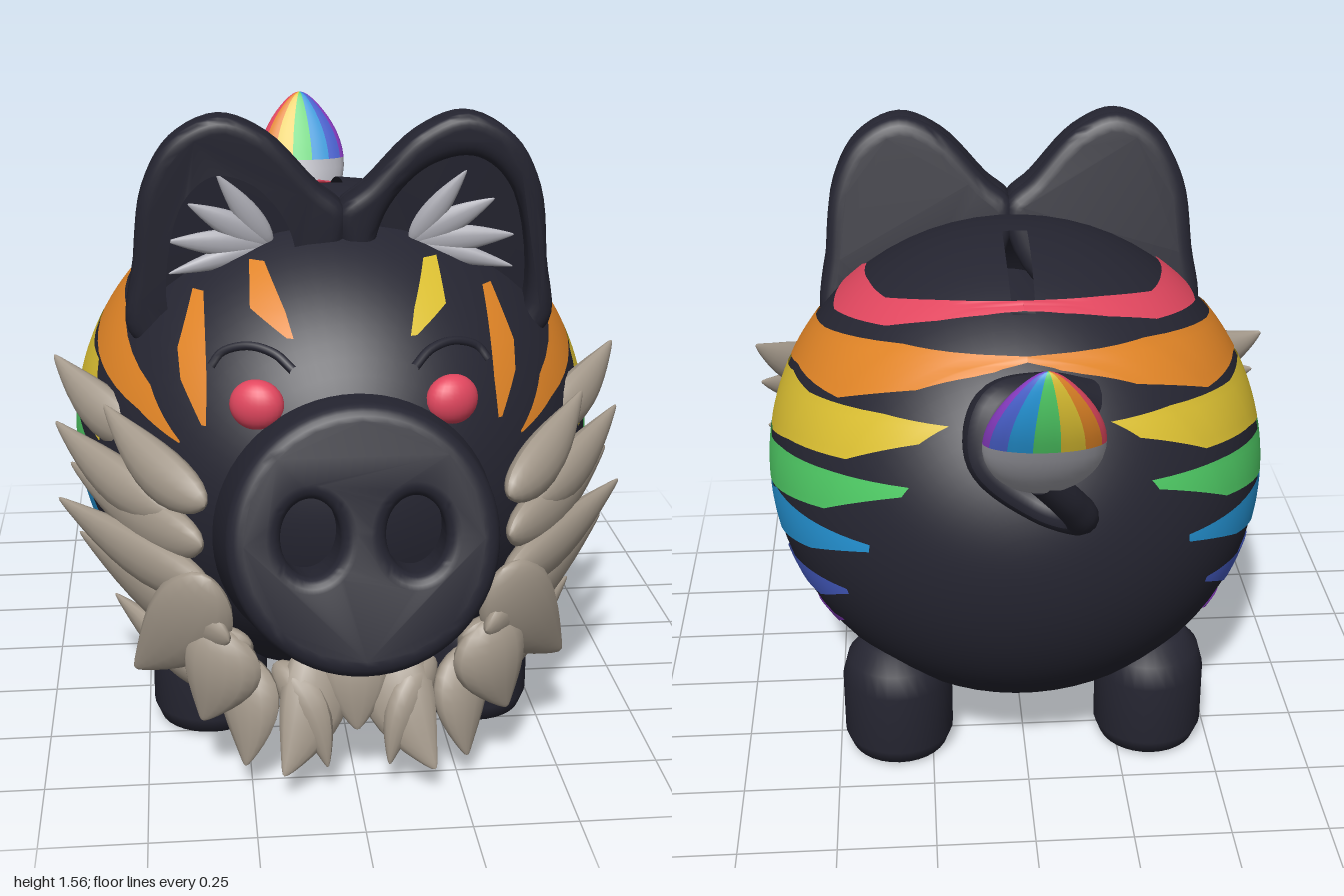
import * as THREE from 'three';
import { toCreasedNormals } from 'three/addons/utils/BufferGeometryUtils.js';

const colours = {
  charcoal: 0x252531, fawn: 0xa3988a, silver: 0xaaaab2, red: 0xe2475f, orange: 0xe08426,
  yellow: 0xdcc032, green: 0x4fcb65, sky: 0x2596d8, indigo: 0x4a62cf, purple: 0x8a3cc4,
};
const V = (x, y, z) => new THREE.Vector3(x, y, z);

// Body ellipsoid
const C = V(0, 0.69, 0.08), R = V(0.67, 0.64, 0.73);
const root = (a, b) => Math.sqrt(Math.max(0, 1 - a * a - b * b));
const onSide = (s) => (z, y) => V(s * R.x * root((z - C.z) / R.z, (y - C.y) / R.y), y, z);
const onFront = (s) => (y, x) => V(s * x, y, C.z + R.z * root(x / R.x, (y - C.y) / R.y));

// Apply a rule to every vertex
function deform(geo, rule) {
  const p = geo.attributes.position, v = V(0, 0, 0);
  for (let i = 0; i < p.count; i++) {
    rule(v.fromBufferAttribute(p, i), i);
    p.setXYZ(i, v.x, v.y, v.z);
  }
  geo.computeVertexNormals();
  return geo;
}

// Painted strip on the body; rows are [along, edgeA, edgeB]
function strip(rows, surface) {
  const pos = [], idx = [], sub = 5, across = 6, n = (rows.length - 1) * sub;
  for (let i = 0; i <= n; i++) {
    const k = Math.min(Math.floor(i / sub), rows.length - 2), f = i / sub - k;
    const [t, a, b] = rows[k].map((v, j) => v + (rows[k + 1][j] - v) * f);
    for (let j = 0; j <= across; j++) {
      const p = surface(t, a + (b - a) * j / across).sub(C).multiplyScalar(1.006).add(C);
      pos.push(p.x, p.y, p.z);
      if (i < n && j < across) {
        const q = i * (across + 1) + j, r = q + across + 1;
        idx.push(q, r, q + 1, q + 1, r, r + 1);
      }
    }
  }
  const geo = new THREE.BufferGeometry();
  geo.setAttribute('position', new THREE.Float32BufferAttribute(pos, 3));
  geo.setIndex(idx);
  geo.computeVertexNormals();
  return geo;
}

// Curved pointed tuft from base to tip, lying flat against normal n
function tuft(base, tip, w, thick, n, curl = 0) {
  const u = tip.clone().sub(base), len = u.length();
  u.normalize();
  const out = n.clone().addScaledVector(u, -n.dot(u)).normalize();
  const side = u.clone().cross(out);
  const geo = deform(new THREE.SphereGeometry(1, 14, 14), (v) => {
    const s = (v.y + 1) / 2, k = 1 - 0.7 * s * s;
    v.set(v.x * w * k + curl * v.y * v.y, v.y * len / 2, v.z * thick * k + 0.04 * s * s * len);
  });
  const mid = base.clone().add(tip).multiplyScalar(0.5);
  return geo.applyMatrix4(new THREE.Matrix4().makeBasis(side, u, out).setPosition(mid));
}

export function createModel() {
  const model = new THREE.Group();
  const mats = {};
  for (const [name, hex] of Object.entries(colours)) {
    mats[name] = new THREE.MeshStandardMaterial({ color: hex, side: THREE.DoubleSide });
    mats[name].name = name;
  }
  const add = (name, geo, mat) => {
    const m = new THREE.Mesh(geo, mats[mat]);
    m.name = name;
    model.add(m);
    return m;
  };

  // Body with an open coin slot along the top
  const body = new THREE.SphereGeometry(1, 64, 48).rotateX(Math.PI / 2).rotateZ(Math.PI / 64);
  body.scale(R.x, R.y, R.z).translate(C.x, C.y, C.z);
  const bp = body.attributes.position, src = body.index.array, kept = [];
  for (let i = 0; i < src.length; i += 3) {
    const t = [src[i], src[i + 1], src[i + 2]];
    const c = t.reduce((a, k) => a.add(V(bp.getX(k), bp.getY(k), bp.getZ(k))), V(0, 0, 0)).divideScalar(3);
    if (!(Math.abs(c.x) < 0.033 && c.y > 1.1 && c.z < 0.07 && c.z > -0.285)) kept.push(...t);
  }
  body.setIndex(kept);
  add('body', body, 'charcoal');

  // Flank stripes: [z, top, bottom]
  const flank = {
    red: [[.3, 1.16, 1.14], [.2, 1.2, 1.14], [.03, 1.215, 1.14], [-.1, 1.22, 1.165], [-.2, 1.25, 1.185], [-.26, 1.265, 1.22], [-.28, 1.25, 1.24]],
    orange: [[.64, .84, .835], [.52, .94, .88], [.25, 1.06, .94], [-.02, 1.11, 1.01], [-.28, 1.17, 1.03], [-.4, 1.18, 1.1], [-.42, 1.15, 1.14]],
    yellow: [[.4, .8, .76], [.27, .93, .79], [.17, .94, .815], [-.02, .99, .82], [-.18, 1, .87], [-.4, 1.04, .92], [-.49, 1.045, 1]],
    green: [[.42, .6, .57], [.3, .74, .63], [.18, .775, .67], [.1, .79, .7], [-.02, .8, .68], [-.14, .83, .71], [-.39, .88, .78], [-.53, .905, .88]],
    sky: [[.42, .38, .36], [.33, .56, .43], [.25, .64, .48], [.17, .66, .55], [0, .65, .535], [-.14, .71, .58], [-.34, .725, .64], [-.51, .74, .72]],
    indigo: [[.31, .36, .35], [.22, .46, .385], [.14, .485, .39], [-.02, .475, .405], [-.13, .525, .445], [-.29, .55, .47], [-.44, .575, .56]],
    purple: [[.22, .2, .195], [.14, .295, .215], [-.02, .34, .255], [-.2, .39, .33], [-.34, .425, .42]],
  };
  // Brow stripes: [y, inner x, outer x]
  const outerBrow = [[1.145, .335, .36], [1.03, .335, .4], [.97, .335, .395], [.885, .34, .35]];
  const innerBrow = [[1.215, .19, .225], [1.13, .15, .23], [1.08, .14, .23]];
  innerBrow[2] = [1.08, .135, .15];

  // Cheek mane: base, tip, half width
  const mane = [
    [[.5, .77, .48], [.71, .92, .25], .075], [[.36, .71, .78], [.58, .86, .48], .075],
    [[.44, .65, .68], [.7, .77, .33], .075], [[.36, .6, .76], [.66, .68, .38], .085],
    [[.34, .5, .79], [.69, .6, .4], .085], [[.3, .38, .8], [.64, .52, .42], .1],
    [[.32, .54, .8], [.5, .24, .62], .12], [[.24, .36, .78], [.5, .3, .6], .09],
    [[.33, .22, .7], [.56, .36, .44], .08], [[.3, .42, .78], [.34, .17, .76], .11],
    [[.06, .34, .72], [.16, .06, .85], .1], [[.17, .32, .74], [.05, .09, .84], .065],
    [[.26, .33, .72], [.24, .07, .8], .09],
  ];

  for (const s of [1, -1]) {
    for (const [c, rows] of Object.entries(flank)) add(c + 'FlankStripe', strip(rows, onSide(s)), c);
    add('outerBrowStripe', strip(outerBrow, onFront(s)), 'orange');
    add('innerBrowStripe', strip(innerBrow, onFront(s)), s > 0 ? 'yellow' : 'orange');

    // Closed eye and rosy cheek
    const lid = [[1.02, .14], [1.05, .18], [1.06, .24], [1.04, .3], [1.01, .325]].map(([y, x]) => onFront(s)(y, x));
    add('closedEye', new THREE.TubeGeometry(new THREE.CatmullRomCurve3(lid), 20, 0.011, 8), 'charcoal');
    const cheek = add('cheek', new THREE.SphereGeometry(1, 24, 16), 'red');
    cheek.scale.set(0.065, 0.06, 0.045);
    cheek.position.copy(onFront(s)(0.945, 0.225));
    cheek.rotation.y = s * 0.35;

    for (const [b, t, w] of mane) {
      const base = V(b[0] * s, b[1], b[2]), tip = V(t[0] * s, t[1], t[2]);
      add('maneTuft', tuft(base, tip, w, 0.05, base.clone().add(tip).multiplyScalar(.5).sub(C), -s * 0.025), 'fawn');
    }

    // Ear: back plate plus hollow rim, thinner and leaning forward at the top
    const outline = (pts) => new THREE.CatmullRomCurve3(pts.map(([x, y]) => V(x * s, y, 0)), true)
      .getPoints(50).slice(0, -1).map((p) => new THREE.Vector2(p.x, p.y));
    const outer = outline([[.52, 1.03], [.505, 1.2], [.48, 1.38], [.41, 1.505], [.295, 1.56], [.18, 1.515], [.06, 1.39], [-.01, 1.32], [.06, 1.12], [.42, .97]]);
    const inner = outline([[.45, 1.06], [.42, 1.36], [.32, 1.455], [.2, 1.43], [.1, 1.31], [.09, 1.19], [.38, 1.02]]);
    const earPart = (hole, z0, z1, bevel) => {
      const shape = new THREE.Shape(outer);
      if (hole) shape.holes.push(new THREE.Path(inner));
      const geo = new THREE.ExtrudeGeometry(shape, {
        depth: z1 - z0 - 2 * bevel, bevelSize: bevel, bevelThickness: bevel, bevelOffset: -bevel, bevelSegments: 5,
      }).translate(0, 0, z0 + bevel);
      deform(geo, (v) => {
        const h = Math.max(0, v.y - 1.03);
        v.z = 0.39 - (0.39 - v.z) * (1 - 0.6 * h) + 0.1 * h;
      });
      return toCreasedNormals(geo, 0.9);
    };
    add('earBack', earPart(false, 0.22, 0.32, 0.04), 'charcoal');
    add('earRim', earPart(true, 0.25, 0.4, 0.035), 'charcoal');
    for (const [x, y, w] of [[.3, 1.42, .035], [.37, 1.35, .04], [.42, 1.26, .04], [.42, 1.18, .03]]) {
      add('earFur', tuft(V(.17 * s, 1.24, .37), V(x * s, y, .39), w, 0.02, V(0, 0, 1)), 'silver');
    }

    // Legs
    const leg = [[0, 0], [.1, 0], [.13, .01], [.146, .05], [.146, .22], [.13, .28], [.09, .325], [0, .34]];
    for (const z of [0.4, -0.288]) {
      const pts = leg.map(([x, y]) => new THREE.Vector2(x, y));
      add(z > 0 ? 'frontLeg' : 'rearLeg', new THREE.LatheGeometry(pts, 32), 'charcoal').position.set(s * 0.34, 0, z);
    }
  }
  add('chinTuft', tuft(V(0, .38, .74), V(0, .15, .79), .1, .05, V(0, 0, 1)), 'fawn');

  // Snout with hollow nostrils, wider at the back
  const disc = new THREE.Shape().absellipse(0, 0, 0.3, 0.3, 0, Math.PI * 2);
  for (const s of [1, -1]) disc.holes.push(new THREE.Path().absellipse(s * 0.117, 0.01, 0.072, 0.092, 0, Math.PI * 2));
  const snout = new THREE.ExtrudeGeometry(disc, {
    depth: 0.3, bevelSize: 0.035, bevelThickness: 0.035, bevelOffset: -0.03, bevelSegments: 5, curveSegments: 32,
  }).translate(0, 0, -0.335);
  deform(snout, (v) => { const k = 1 - 0.4 * v.z; v.x *= k; v.y *= k; });
  const snoutMesh = add('snout', toCreasedNormals(snout, 0.7), 'charcoal');
  snoutMesh.position.set(0, 0.695, 0.935);
  snoutMesh.rotation.x = -0.24;

  // Curly tail, tapering
  const path = new THREE.CatmullRomCurve3([
    V(-.14, 1.07, -.43), V(-.03, 1.12, -.49), V(.09, 1.12, -.55), V(.11, 1.01, -.6),
    V(-.02, .91, -.65), V(-.1, .91, -.71), V(-.07, .98, -.77), V(0, 1.08, -.84)]);
  const steps = 64, sides = 14;
  const tail = new THREE.TubeGeometry(path, steps, 0.06, sides);
  deform(tail, (v, i) => {
    const t = Math.floor(i / (sides + 1)) / steps, c = path.getPointAt(t);
    v.sub(c).multiplyScalar(1 - 0.4 * t).add(c);
  });
  add('tail', tail, 'charcoal');

  // Tail brush: silver base and rainbow tip split into sectors
  const brushShape = (geo) => deform(geo, (v) => {
    const s = (v.y + 1) / 2, k = 1 - 0.45 * s * s * s;
    v.set(v.x * 0.14 * k, 1.04 + 0.365 * s, v.z * 0.06 * k - 0.82 - 0.22 * s + 0.06 * s * s);
  });
  add('brushBase', brushShape(new THREE.SphereGeometry(1, 28, 10, 0, Math.PI * 2, Math.PI * 0.52, Math.PI * 0.48)), 'silver');
  const rainbow = Object.keys(flank), step = Math.PI / rainbow.length;
  rainbow.forEach((c, i) => {
    for (const start of [i * step, Math.PI * 2 - (i + 1) * step]) {
      add(c + 'BrushTip', brushShape(new THREE.SphereGeometry(1, 4, 12, start, step, 0, Math.PI * 0.52)), c);
    }
  });
  return model;
}
